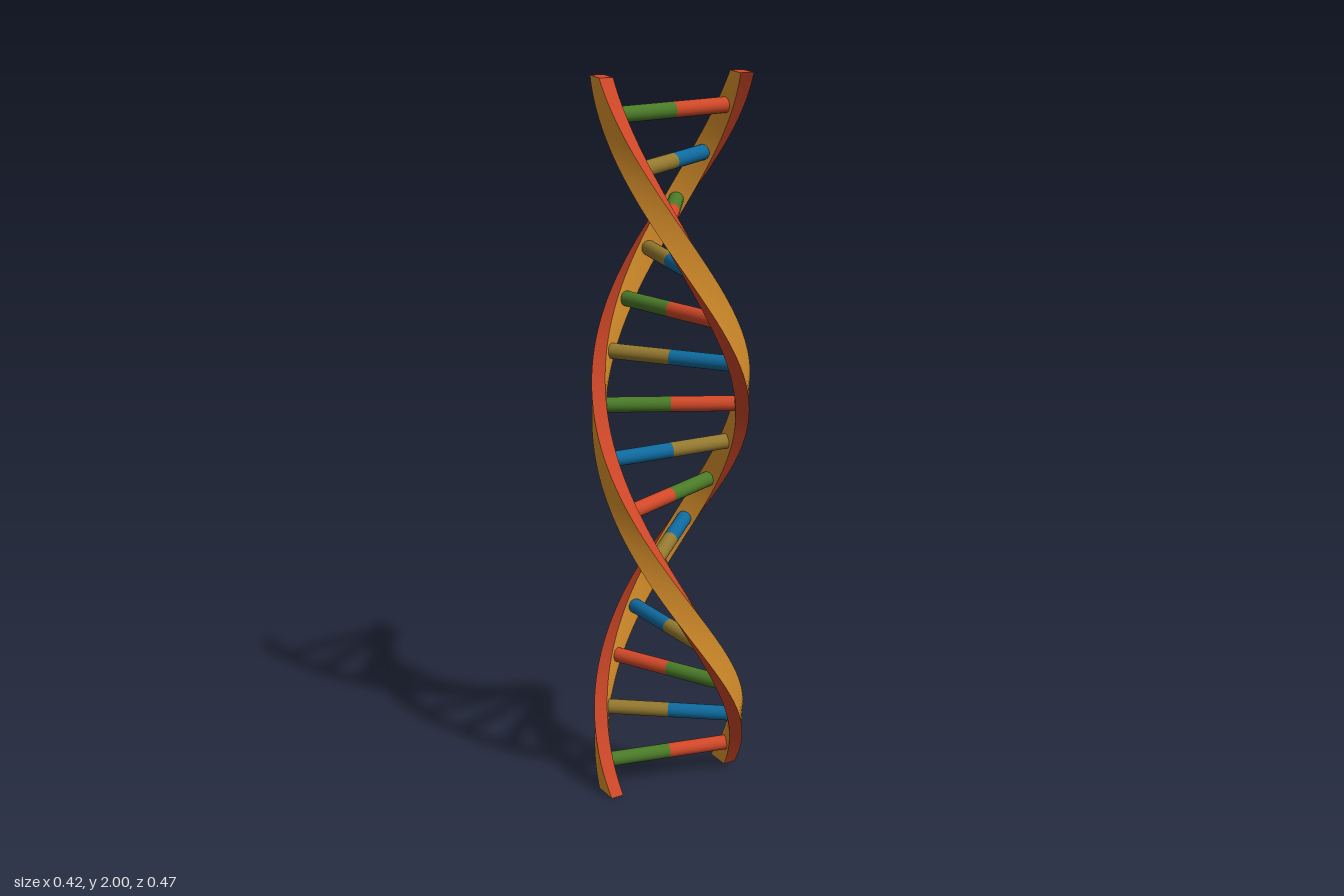
import * as THREE from 'three';

const LENGTH = 1.99;
const RADIUS = 0.19;
const RUNG_HALF = 0.178;

// Twist angle at a height y
const twist = (y) => THREE.MathUtils.degToRad(385 - 186.5 * y);

function material(name, color) {
  const m = new THREE.MeshStandardMaterial({ color });
  m.name = name;
  return m;
}

// Flat bar standing off the axis, twisted into a ribbon
function strandGeometry(phase) {
  const geo = new THREE.BoxGeometry(0.037, LENGTH, 0.07, 1, 128, 1);
  geo.translate(RADIUS, 1, 0);
  const p = geo.attributes.position;
  const v = new THREE.Vector3();
  const up = new THREE.Vector3(0, 1, 0);
  for (let i = 0; i < p.count; i++) {
    v.fromBufferAttribute(p, i).applyAxisAngle(up, twist(v.y) + phase);
    p.setXYZ(i, v.x, v.y - 1, v.z);
  }
  geo.computeVertexNormals();
  return geo;
}

export function createModel() {
  const model = new THREE.Group();
  model.name = 'doubleHelix';

  const red = material('red', 0xd04828);
  const orange = material('orange', 0xdc922c);
  const green = material('green', 0x4a7a28);
  const blue = material('blue', 0x0e6a9e);
  const gold = material('gold', 0x94792f);

  // The whole helix leans slightly forward about its middle
  const helix = new THREE.Group();
  helix.name = 'helix';
  helix.position.y = 1;
  helix.rotation.x = 0.045;
  model.add(helix);

  // Two strands: orange inside and outside, red edges and ends
  const faces = [orange, orange, red, red, red, red];
  ['firstStrand', 'secondStrand'].forEach((name, i) => {
    const strand = new THREE.Mesh(strandGeometry(i * Math.PI), faces);
    strand.name = name;
    helix.add(strand);
  });

  // Rungs from bottom to top, each made of two paired halves
  const pair = { r: [red, green], g: [green, red], b: [blue, gold], y: [gold, blue] };
  const half = new THREE.CylinderGeometry(0.021, 0.021, RUNG_HALF, 24);
  half.rotateZ(-Math.PI / 2);
  [...'rbgyryrbgygygbr'].forEach((key, i) => {
    const y = 0.082 + 0.1302 * i;
    const rung = new THREE.Group();
    rung.name = `rung${i + 1}`;
    rung.position.y = y - 1;
    rung.rotation.y = twist(y);
    pair[key].forEach((mat, side) => {
      const mesh = new THREE.Mesh(half, mat);
      mesh.name = side ? 'secondHalf' : 'firstHalf';
      mesh.position.x = (side ? -1 : 1) * RUNG_HALF / 2;
      rung.add(mesh);
    });
    helix.add(rung);
  });

  return model;
}
